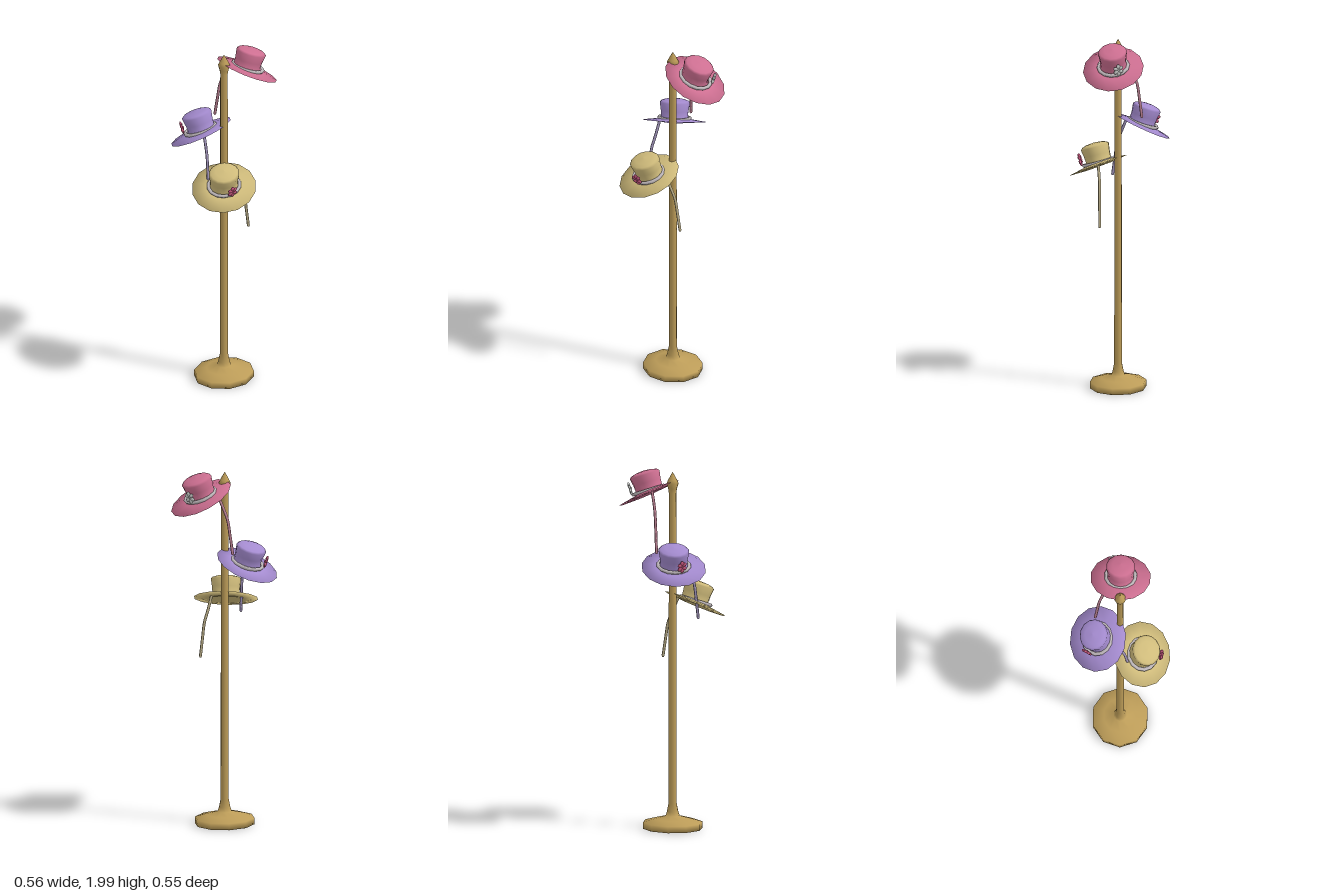
import * as THREE from 'three';

const mat = (name, color) => new THREE.MeshStandardMaterial({ name, color });

function add(parent, name, geometry, material) {
  const mesh = new THREE.Mesh(geometry, material);
  mesh.name = name;
  parent.add(mesh);
  return mesh;
}

// Smooth turned profile with a corner on the x axis
function turned(points, sides) {
  const g = new THREE.LatheGeometry(points.map(([r, y]) => new THREE.Vector2(r, y)), sides);
  return g.rotateY(Math.PI / 2);
}

// Hat parts are slightly oval, always wider along the stand's x axis
const oval = (g, yaw) => g.rotateY(yaw).scale(1.085, 1, 1).rotateY(-yaw);

// Thin brim that dips towards the outer end
function brimGeometry(yaw) {
  const g = turned([[0, -0.005], [0.1, -0.005], [0.167, 0], [0.09, 0.011], [0.065, 0.016]], 14);
  const dip = new THREE.Matrix4().set(1, 0, 0, 0, -0.115, 1, 0, 0, 0, 0, 1, 0, 0, 0, 0, 1);
  return oval(g, yaw).applyMatrix4(dip);
}

// Six petals round a small heart, facing +x
function makeFlower(material) {
  const flower = new THREE.Group();
  flower.name = 'flower';
  for (let i = 0; i < 6; i++) {
    const a = (i / 6) * Math.PI * 2;
    const petal = add(flower, 'petal', new THREE.SphereGeometry(0.013, 7, 5), material);
    petal.scale.set(0.6, 1.1, 0.9);
    petal.position.set(0.003, Math.cos(a) * 0.022, Math.sin(a) * 0.016);
    petal.rotation.x = a;
  }
  add(flower, 'flowerHeart', new THREE.SphereGeometry(0.009, 7, 5), material);
  return flower;
}

export function createModel() {
  const wood = mat('goldenWood', 0xbc9c58);
  const pink = mat('pinkFelt', 0xcd6f91);
  const lilac = mat('lilacFelt', 0xa48bcf);
  const straw = mat('strawYellow', 0xcfbb7b);
  const silver = mat('paleRibbon', 0xbfb8bb);
  const white = mat('whitePetals', 0xd0d2d0);
  const rose = mat('rosePetals', 0xc8587f);
  const pinkTail = mat('dustyPinkRibbon', 0xc08496);
  const lilacTail = mat('dustyLilacRibbon', 0xa396bd);
  const strawTail = mat('dustyStrawRibbon', 0xbdb08a);

  const model = new THREE.Group();
  model.name = 'hatStand';
  const stand = new THREE.Group();
  stand.name = 'stand';
  stand.position.x = -0.035;
  model.add(stand);

  // Foot, pole and pointed finial in one turned piece
  const pole = add(stand, 'pole', turned([[0, 0], [0.168, 0], [0.168, 0.036],
    [0.1, 0.055], [0.04, 0.07], [0.032, 0.095], [0.023, 0.14], [0.022, 1], [0.021, 1.87],
    [0.025, 1.895], [0.034, 1.925], [0.026, 1.942], [0.012, 1.968], [0, 1.988]], 10), wood);
  pole.scale.z = 0.93;

  const hats = [
    ['pinkHat', 1.857, pink, white, pinkTail],
    ['lilacHat', 1.477, lilac, rose, lilacTail],
    ['strawHat', 1.24, straw, rose, strawTail],
  ];
  hats.forEach(([name, height, felt, petals, tail], i) => {
    // Each hat hangs a third of a turn round the pole
    const yaw = (i * Math.PI * 2) / 3;
    const arm = new THREE.Group();
    arm.name = name;
    arm.position.set(0, height, 0.008 * Math.sin(yaw));
    arm.rotation.y = yaw;
    stand.add(arm);

    const hat = new THREE.Group();
    hat.name = 'hatBody';
    hat.position.x = 0.148;
    hat.rotation.z = -0.35;
    arm.add(hat);

    add(hat, 'brim', brimGeometry(yaw), felt);
    const crown = turned([[0.08, 0], [0.071, 0.03], [0.073, 0.06], [0.08, 0.104],
      [0.07, 0.114], [0.045, 0.122], [0, 0.127]], 14);
    add(hat, 'crown', oval(crown, yaw), felt).position.x = -0.009;

    // Ribbon band round the crown
    const band = new THREE.TorusGeometry(0.081, 0.01, 6, 14).rotateX(Math.PI / 2);
    add(hat, 'band', oval(band, yaw), silver).position.set(-0.002, 0.017, 0);

    const flower = makeFlower(petals);
    const a = 0.5;
    flower.position.set(Math.cos(a) * 0.09, 0.054, -Math.sin(a) * 0.09);
    flower.rotation.y = a;
    hat.add(flower);

    // Bent tail hanging below the brim
    const path = new THREE.CatmullRomCurve3([
      [0.085, 0.025, -0.078], [0.058, -0.06, -0.1], [0.045, -0.11, -0.115],
      [0.035, -0.2, -0.126], [0.025, -0.3, -0.137],
    ].map(p => new THREE.Vector3(...p)));
    add(arm, 'ribbonTail', new THREE.TubeGeometry(path, 12, 0.008, 6), tail);
    for (const t of [0, 1]) {
      const cap = add(arm, 'ribbonEnd', new THREE.SphereGeometry(0.008, 6, 4), tail);
      cap.position.copy(path.getPoint(t));
    }
  });
  return model;
}
